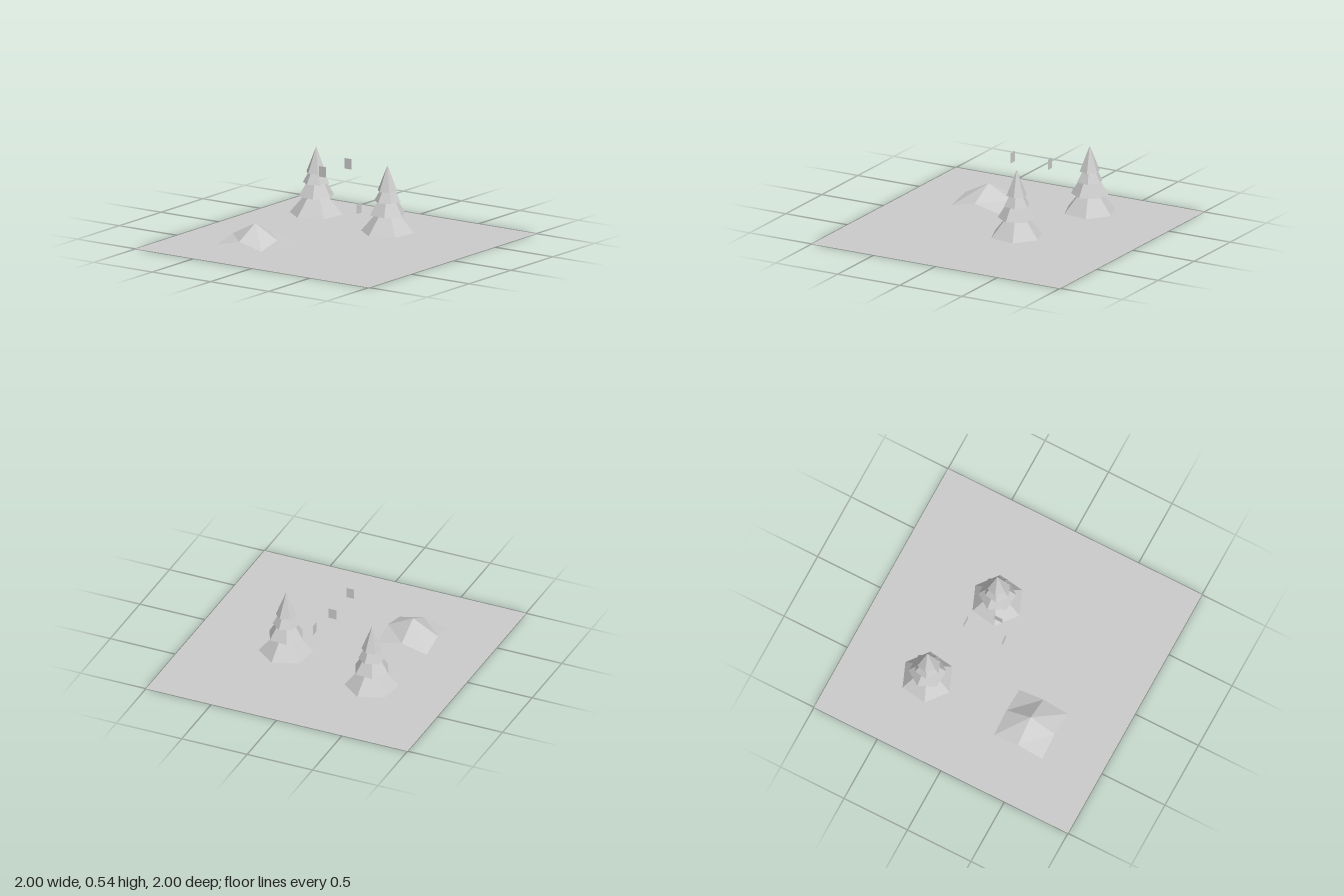
import * as THREE from 'three';

const material = new THREE.MeshStandardMaterial({
  color: 0xcccccc, flatShading: true, side: THREE.DoubleSide,
});

function addPart(parent, name, geometry, x = 0, y = 0, z = 0) {
  const mesh = new THREE.Mesh(geometry, material);
  mesh.name = name;
  mesh.position.set(x, y, z);
  parent.add(mesh);
  return mesh;
}

// Foliage tiers: [base height, base radius, cone height, twist]
const TIERS = [
  [0.062, 0.19, 0.225, 0.38],
  [0.19, 0.132, 0.215, -0.08],
  [0.282, 0.095, 0.175, 0.38],
  [0.356, 0.073, 0.184, 0.26],
];

function createTree(x, z) {
  const tree = new THREE.Group();
  tree.name = 'pineTree';
  tree.position.set(x, 0, z);
  TIERS.forEach(([base, radius, height, twist], i) => {
    const cone = new THREE.ConeGeometry(radius, height, 6);
    addPart(tree, `foliageTier${i + 1}`, cone, 0, base + height / 2).rotation.y = twist;
  });
  return tree;
}

// Canopy of four sloping panels: high centre, low corners
function createCanopy() {
  const geometry = new THREE.PlaneGeometry(0.38, 0.38, 2, 2).rotateX(-Math.PI / 2);
  const heights = [0.15, 0.052, 0.007];
  const p = geometry.attributes.position;
  for (let i = 0; i < p.count; i++) {
    const steps = Math.round((Math.abs(p.getX(i)) + Math.abs(p.getZ(i))) / 0.19);
    p.setY(i, heights[steps]);
  }
  geometry.computeVertexNormals();
  return geometry;
}

export function createModel() {
  const model = new THREE.Group();
  model.name = 'campsite';

  addPart(model, 'ground', new THREE.PlaneGeometry(2, 2).rotateX(-Math.PI / 2));
  model.add(createTree(0.395, -0.453), createTree(0.23, 0.277));
  addPart(model, 'canopy', createCanopy(), -0.395, 0, -0.41);

  // Small floating panels
  const panel = new THREE.PlaneGeometry(0.06, 0.075);
  for (const x of [-0.02, 0.28]) {
    addPart(model, 'sidePanel', panel, x, 0.487, -0.1).rotation.y = Math.PI / 2;
  }
  addPart(model, 'frontPanel', panel, 0.13, 0.227, 0.105);

  return model;
}
